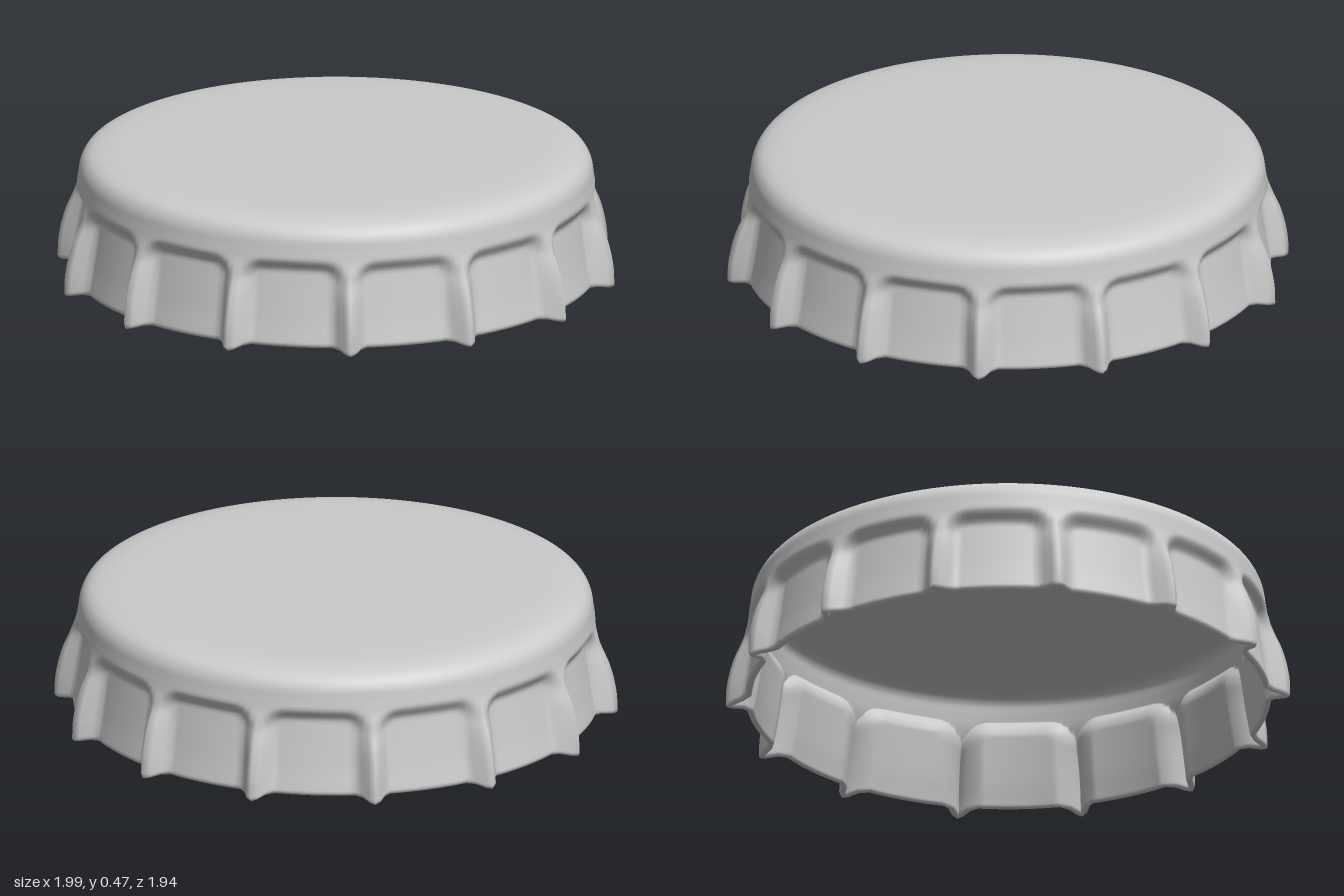
import * as THREE from 'three';

const RIDGES = 14, SEG = RIDGES * 20, ROWS = 64, LIP = 5, THICK = 0.024;
const PITCH = (2 * Math.PI) / RIDGES;

// Profile along a ridge: (radius, height) from the centre of the top to the hem
const profile = new THREE.SplineCurve([
  [0, 0.474], [0.45, 0.473], [0.72, 0.47], [0.82, 0.463], [0.875, 0.445], [0.902, 0.41], [0.911, 0.36],
  [0.92, 0.31], [0.942, 0.25], [0.968, 0.19], [0.985, 0.13], [0.995, 0.07], [0.997, 0.012],
].map(([r, y]) => new THREE.Vector2(r, y)));

// Radius of the pressed-in flutes at a given height
const fluteRadius = (y) => 0.93 - 0.165 * y + 0.04 * y * y;

// 1 inside a flute, 0 on the ridges and above; the flute has an arched top
function fluteMask(theta, y) {
  const k = theta / PITCH;
  const s = Math.abs(k - Math.floor(k) - 0.5) * PITCH * 0.94;
  const corner = 0.09;
  const qx = s - (0.208 - corner);
  const qy = y + 0.12 * s * s - (0.338 - corner);
  const d = Math.hypot(Math.max(qx, 0), Math.max(qy, 0)) + Math.min(Math.max(qx, qy), 0) - corner;
  return THREE.MathUtils.smoothstep(-d, 0, 0.058);
}

function outerPoint(theta, t) {
  const p = profile.getPoint(t);
  const w = fluteMask(theta, p.y);
  const r = p.x - Math.max(p.x - fluteRadius(p.y), 0) * w;
  const lift = 0.014 * w * (1 - THREE.MathUtils.smoothstep(p.y, 0, 0.12));
  return new THREE.Vector3(r * Math.cos(theta), p.y + lift, -r * Math.sin(theta));
}

function outerNormal(theta, t) {
  if (t < 0.01) return new THREE.Vector3(0, 1, 0);
  const e = 0.002;
  const down = outerPoint(theta, Math.min(t + e, 1)).sub(outerPoint(theta, t - e));
  const round = outerPoint(theta + e, t).sub(outerPoint(theta - e, t));
  return down.cross(round).normalize();
}

// One closed sheet: outer skin, rounded hem, then the inner skin back to the centre
function capGeometry() {
  const positions = [], index = [];
  const rows = [];
  for (let i = 0; i <= ROWS; i++) rows.push({ t: i / ROWS, turn: 0 });
  for (let i = 1; i < LIP; i++) rows.push({ t: 1, turn: (i / LIP) * Math.PI });
  for (let i = ROWS; i >= 0; i--) rows.push({ t: i / ROWS, turn: Math.PI });

  for (const { t, turn } of rows) {
    for (let j = 0; j < SEG; j++) {
      const theta = (j / SEG) * 2 * Math.PI;
      const p = outerPoint(theta, t);
      p.addScaledVector(outerNormal(theta, t), (THICK / 2) * (Math.cos(turn) - 1));
      p.y -= (THICK / 2) * Math.sin(turn);
      positions.push(p.x, p.y, p.z);
    }
  }
  for (let i = 0; i < rows.length - 1; i++) {
    for (let j = 0; j < SEG; j++) {
      const k = (j + 1) % SEG;
      const a = i * SEG + j, b = a + SEG, c = i * SEG + k, d = c + SEG;
      index.push(a, b, c, b, d, c);
    }
  }
  const geometry = new THREE.BufferGeometry();
  geometry.setAttribute('position', new THREE.Float32BufferAttribute(positions, 3));
  geometry.setIndex(index);
  geometry.computeVertexNormals();
  // The centre rings collapse to a point, so give them plain vertical normals
  const n = geometry.attributes.normal;
  for (let j = 0; j < SEG; j++) {
    n.setXYZ(j, 0, 1, 0);
    n.setXYZ((rows.length - 1) * SEG + j, 0, -1, 0);
  }
  return geometry;
}

export function createModel() {
  const group = new THREE.Group();
  group.name = 'bottleCap';
  const cap = new THREE.Mesh(capGeometry(), new THREE.MeshStandardMaterial({ color: 0xcccccc }));
  cap.name = 'crimpedCapShell';
  group.add(cap);
  return group;
}
